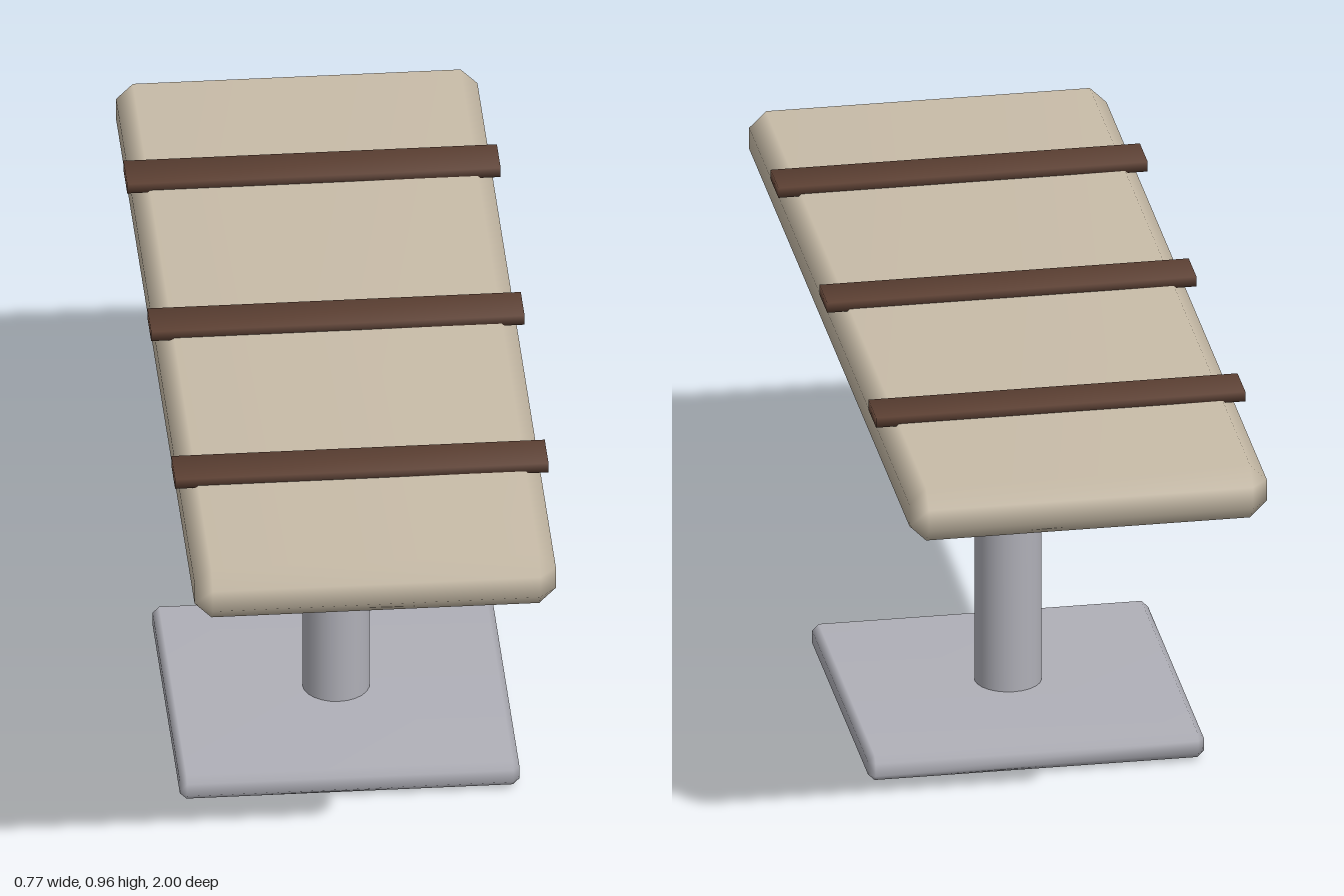
import * as THREE from 'three';
import { mergeVertices } from 'three/addons/utils/BufferGeometryUtils.js';
import { ConvexGeometry } from 'three/addons/geometries/ConvexGeometry.js';

// Weld shared corners so the shading runs smoothly over the edges
function smooth(geometry) {
  geometry.deleteAttribute('normal');
  geometry.deleteAttribute('uv');
  const welded = mergeVertices(geometry, 1e-4);
  welded.computeVertexNormals();
  return welded;
}

// Box with every edge and corner cut by a single bevel
function bevelledBox(w, h, d, b) {
  const points = [];
  for (const x of [-w / 2, w / 2])
    for (const y of [-h / 2, h / 2])
      for (const z of [-d / 2, d / 2]) {
        const ix = x - Math.sign(x) * b, iy = y - Math.sign(y) * b, iz = z - Math.sign(z) * b;
        points.push(
          new THREE.Vector3(x, iy, iz),
          new THREE.Vector3(ix, y, iz),
          new THREE.Vector3(ix, iy, z));
      }
  return smooth(new ConvexGeometry(points));
}

function material(name, color) {
  const m = new THREE.MeshStandardMaterial({ color });
  m.name = name;
  return m;
}

export function createModel() {
  const model = new THREE.Group();
  model.name = 'paddedTable';
  const padding = material('beige padding', 0xc8bca8);
  const metal = material('grey metal', 0xb0b0b8);
  const leather = material('brown leather', 0x5c4033);

  function add(name, geometry, mat, y, z = 0) {
    const mesh = new THREE.Mesh(geometry, mat);
    mesh.name = name;
    mesh.position.set(0, y, z);
    model.add(mesh);
  }

  // Square foot plate
  add('basePlate', bevelledBox(0.705, 0.056, 0.7, 0.014), metal, 0.036);

  // Central column, its rounded foot showing just below the plate
  const profile = [[0, 0.002], [0.04, 0.002], [0.062, 0.007], [0.07, 0.016], [0.07, 0.85]]
    .map(([r, y]) => new THREE.Vector2(r, y));
  add('column', new THREE.LatheGeometry(profile, 24), metal, 0);

  // Padded top
  add('tableTop', bevelledBox(0.75, 0.118, 2, 0.035), padding, 0.889);

  // Three straps across the top
  const strap = smooth(new THREE.BoxGeometry(0.775, 0.022, 0.094));
  for (const z of [-0.588, 0, 0.588]) add('strap', strap, leather, 0.954, z);

  return model;
}
